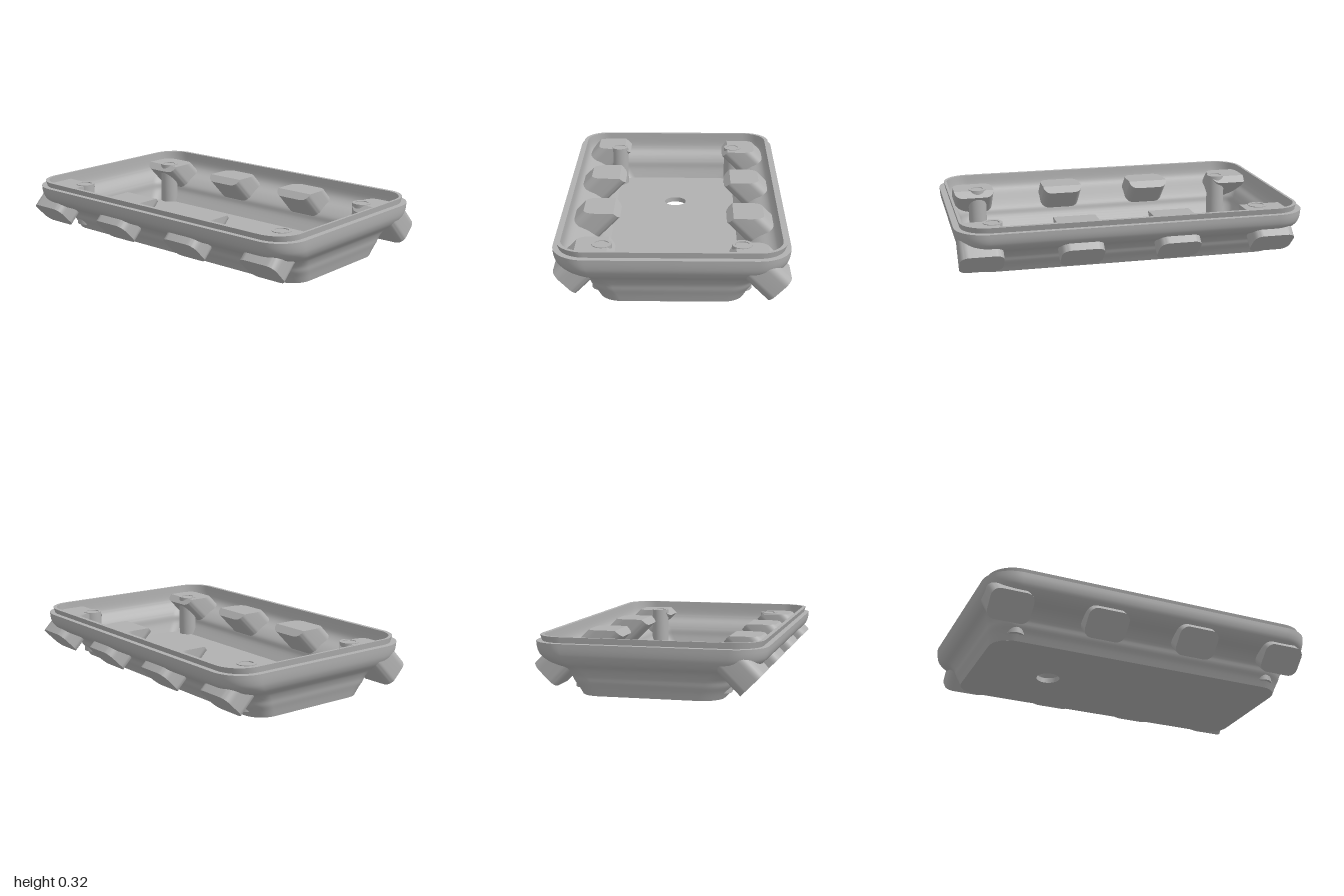
import * as THREE from 'three';
import { toCreasedNormals } from 'three/addons/utils/BufferGeometryUtils.js';

const V2 = (x, y) => new THREE.Vector2(x, y);

// Turns a list of quads (each four points, anticlockwise from outside) into a geometry
function fromQuads(quads, crease) {
  const pos = [];
  for (const [a, b, c, d] of quads) pos.push(...a, ...b, ...c, ...a, ...c, ...d);
  const g = new THREE.BufferGeometry();
  g.setAttribute('position', new THREE.Float32BufferAttribute(pos, 3));
  return toCreasedNormals(g, crease);
}

// Rounded rectangle outline, anticlockwise in (x, second axis)
function outline(hx, hz, r, steps = 12) {
  const pts = [];
  [[1, 1], [-1, 1], [-1, -1], [1, -1]].forEach(([sx, sz], q) => {
    for (let i = 0; i <= steps; i++) {
      const a = (q + i / steps) * Math.PI / 2;
      pts.push(V2(sx * (hx - r) + r * Math.cos(a), sz * (hz - r) + r * Math.sin(a)));
    }
  });
  return pts;
}

// Tray wall: rounded rectangles stacked up the outside, over the lip and down the inside
function wallGeometry() {
  const spline = (pts) => new THREE.SplineCurve(pts.map((p) => V2(...p))).getPoints(28);
  const outer = spline([[0.39, 0], [0.413, 0.04], [0.437, 0.075], [0.455, 0.11], [0.5, 0.15],
    [0.57, 0.18], [0.612, 0.215], [0.628, 0.25], [0.633, 0.29]])
    .map((p) => [1 - (0.633 - p.x) * 0.453, p.x, 0.18 - (0.633 - p.x) * 0.25, p.y]);
  const lip = [[0.966, 0.602, 0.15, 0.29], [0.97, 0.613, 0.155, 0.322], [0.955, 0.59, 0.14, 0.322]];
  const inner = spline([[0.59, 0.322], [0.583, 0.25], [0.553, 0.21], [0.485, 0.175],
    [0.437, 0.135], [0.42, 0.09], [0.375, 0.03]])
    .map((p) => [0.955 - (0.59 - p.x) * 0.4, p.x, 0.14 - (0.59 - p.x) * 0.2, p.y]);
  const rings = [...outer, ...lip, ...inner.slice(1)].map(([hx, hz, r, y]) =>
    outline(hx, hz, r).map((p) => [p.x, y, p.y]));
  const quads = [];
  for (let k = 0; k < rings.length - 1; k++) {
    const a = rings[k], b = rings[k + 1];
    for (let i = 0; i < a.length; i++) {
      const j = (i + 1) % a.length;
      quads.push([a[i], b[i], b[j], a[j]]);
    }
  }
  return fromQuads(quads, 0.6);
}

// Floor plate with a round hole
function floorGeometry() {
  const shape = new THREE.Shape(outline(0.89, 0.39, 0.119));
  shape.holes.push(new THREE.Path().absarc(-0.445, 0, 0.067, 0, Math.PI * 2, true));
  return new THREE.ExtrudeGeometry(shape, { depth: 0.03, bevelEnabled: false, curveSegments: 32 })
    .rotateX(-Math.PI / 2);
}

// Slanted block: rounded bar tilted 45 degrees through the wall, cut level at the top
function blockGeometry() {
  const hw = 0.121, hv = 0.0875, r = 0.05, k = Math.SQRT1_2;
  const endAt = (v) => Math.min(0.283, 0.2475 - v);
  const at = (x, v, s) => [x, 0.107 + (v + s) * k, 0.5675 + (v - s) * k];
  const rows = [];
  for (let i = 0; i <= 8; i++) {
    const a = i / 8 * Math.PI / 2;
    rows.push([hw - r + r * Math.sin(a), -hv + r - r * Math.cos(a)]);
  }
  const top = rows.map(([w, v]) => [w, -v]).reverse();
  rows.push([hw, -0.0355], ...top);
  const quads = [];
  for (let i = 0; i < rows.length - 1; i++) {
    const [w0, v0] = rows[i], [w1, v1] = rows[i + 1];
    const s0 = endAt(v0), s1 = endAt(v1);
    quads.push(
      [at(-w0, v0, 0), at(w0, v0, 0), at(w1, v1, 0), at(-w1, v1, 0)],
      [at(-w1, v1, s1), at(w1, v1, s1), at(w0, v0, s0), at(-w0, v0, s0)],
      [at(w0, v0, 0), at(w0, v0, s0), at(w1, v1, s1), at(w1, v1, 0)],
      [at(-w1, v1, 0), at(-w1, v1, s1), at(-w0, v0, s0), at(-w0, v0, 0)]);
  }
  const w = hw - r, s = endAt(hv), e = endAt(-hv);
  quads.push([at(-w, hv, 0), at(w, hv, 0), at(w, hv, s), at(-w, hv, s)],
    [at(-w, -hv, e), at(w, -hv, e), at(w, -hv, 0), at(-w, -hv, 0)]);
  return fromQuads(quads, 0.5);
}

// Screw post: a tube with a bore
function postGeometry() {
  const p = [[0.038, 0.033], [0.055, 0.033], [0.055, 0.286], [0.038, 0.286], [0.038, 0.033]];
  return toCreasedNormals(new THREE.LatheGeometry(p.map((q) => V2(...q)), 32), 0.6);
}

export function createModel() {
  const model = new THREE.Group();
  model.name = 'enclosureTray';
  const grey = new THREE.MeshStandardMaterial({ color: 0xb0b0b0 });
  grey.name = 'grey';
  const add = (parent, name, geometry, x = 0, z = 0) => {
    const mesh = new THREE.Mesh(geometry, grey);
    mesh.name = name;
    mesh.position.set(x, 0, z);
    parent.add(mesh);
  };

  add(model, 'trayWall', wallGeometry());
  add(model, 'trayFloor', floorGeometry());

  // Each long side has four blocks and two posts; the back is the front turned half round
  const block = blockGeometry(), post = postGeometry();
  ['frontFittings', 'backFittings'].forEach((name, i) => {
    const side = new THREE.Group();
    side.name = name;
    side.rotation.y = i * Math.PI;
    for (const x of [-0.865, -0.31, 0.245, 0.8]) add(side, 'slantedBlock', block, x);
    for (const x of [-0.777, 0.777]) add(side, 'screwPost', post, x, 0.376);
    model.add(side);
  });
  return model;
}
